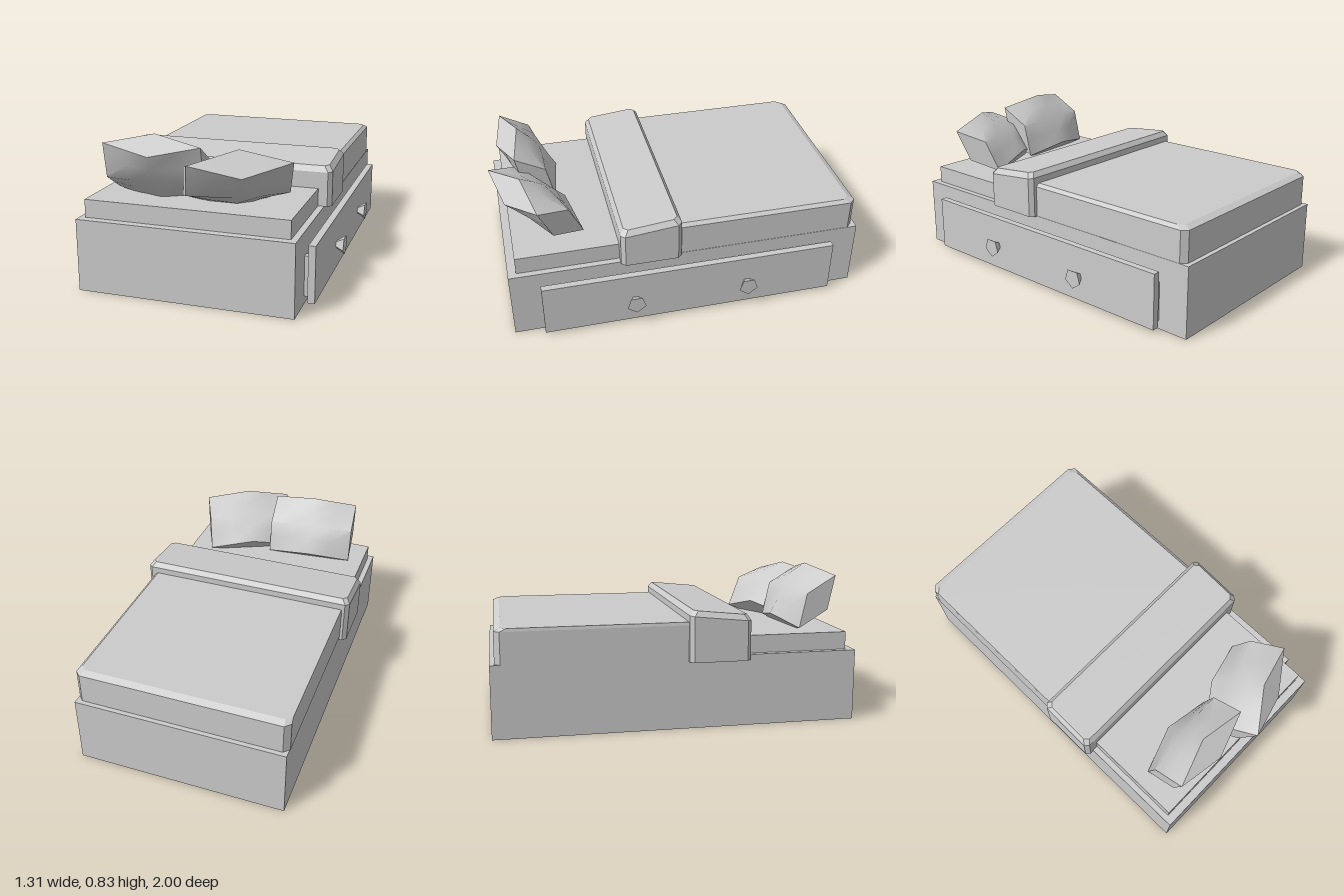
import * as THREE from 'three';
import { toCreasedNormals } from 'three/addons/utils/BufferGeometryUtils.js';

const smooth = new THREE.MeshStandardMaterial({ color: 0xcccccc, side: THREE.DoubleSide });
const flat = new THREE.MeshStandardMaterial({ color: 0xcccccc, flatShading: true, side: THREE.DoubleSide });

function add(parent, name, geometry, material = flat) {
  const mesh = new THREE.Mesh(geometry, material);
  mesh.name = name;
  parent.add(mesh);
  return mesh;
}

// Box given by its extents on each axis
function block(x0, x1, y0, y1, z0, z1) {
  return new THREE.BoxGeometry(x1 - x0, y1 - y0, z1 - z0)
    .translate((x0 + x1) / 2, (y0 + y1) / 2, (z0 + z1) / 2);
}

// Slab with cut corners, lofted through rectangles [y, x0, x1, z0, z1]
function slab(levels, cut, height = (x, y) => y) {
  const positions = [], index = [], n = 8;
  for (const [y, x0, x1, z0, z1] of levels) {
    const outline = [
      [x1, z1 - cut], [x1, z0 + cut], [x1 - cut, z0], [x0 + cut, z0],
      [x0, z0 + cut], [x0, z1 - cut], [x0 + cut, z1], [x1 - cut, z1],
    ];
    for (const [x, z] of outline) positions.push(x, height(x, y, z), z);
  }
  const top = (levels.length - 1) * n;
  for (let r = 0; r < top; r += n) {
    for (let i = 0; i < n; i++) {
      const a = r + i, b = r + (i + 1) % n;
      index.push(a, b, b + n, a, b + n, a + n);
    }
  }
  for (let i = 1; i < n - 1; i++) {
    index.push(top, top + i, top + i + 1, 0, i + 1, i);
  }
  const g = new THREE.BufferGeometry();
  g.setAttribute('position', new THREE.Float32BufferAttribute(positions, 3));
  g.setIndex(index);
  g.computeVertexNormals();
  return g;
}

// Cushion with pinched corners; across and up are its full edge vectors
function pillow(center, across, up, thickness) {
  const g = new THREE.BoxGeometry(2, 2, 2, 4, 4, 1);
  const p = g.attributes.position;
  for (let i = 0; i < p.count; i++) {
    const u = p.getX(i), v = p.getY(i);
    const puff = 1 - Math.abs(u * v) + 0.2 * (1 - u * u) * (1 - v * v);
    p.setZ(i, p.getZ(i) * thickness * puff);
  }
  const a = new THREE.Vector3(...across).multiplyScalar(0.5);
  const b = new THREE.Vector3(...up).multiplyScalar(0.5);
  const normal = a.clone().cross(b).normalize();
  g.applyMatrix4(new THREE.Matrix4().makeBasis(a, b, normal).setPosition(...center));
  return toCreasedNormals(g, 0.7);
}

export function createModel() {
  const bed = new THREE.Group();
  bed.name = 'bed';

  // Bed base: a shell open underneath (bottom face left out)
  const base = block(-0.615, 0.547, 0, 0.39, -1, 0.965);
  base.setIndex(Array.from(base.index.array).filter((_, i) => i < 18 || i >= 24));
  add(bed, 'bedBase', base);

  add(bed, 'mattress', block(-0.583, 0.513, 0.38, 0.487, -0.95, 0.92));

  // Blanket with a bevelled foot end
  add(bed, 'blanket', slab([
    [0.388, -0.618, 0.545, -0.975, 0.2],
    [0.56, -0.618, 0.545, -0.975, 0.2],
    [0.577, -0.615, 0.525, -0.94, 0.2],
  ], 0.03));

  // Folded end of the blanket, top rising towards the foot, hem lower on one side
  add(bed, 'blanketFold', slab([
    [0.365, -0.655, 0.585, 0.03, 0.363],
    [0.58, -0.655, 0.585, 0.03, 0.363],
    [0.61, -0.635, 0.563, 0.052, 0.343],
  ], 0.022, (x, y, z) => y < 0.4
    ? y + 0.025 * (x + 0.655) / 1.24
    : y + 0.03 * (0.343 - z) / 0.29));

  // Drawer running under the bed
  const drawer = new THREE.Group();
  drawer.name = 'drawer';
  bed.add(drawer);
  add(drawer, 'drawerFront', block(0.57, 0.608, 0.02, 0.325, -0.843, 0.803));
  add(drawer, 'drawerFloor', block(-0.43, 0.57, 0.045, 0.075, -0.8, 0.75));
  add(drawer, 'drawerBack', block(-0.43, -0.4, 0.075, 0.26, -0.8, 0.75));
  for (const z of [-0.83, 0.74]) {
    add(drawer, 'drawerSide', block(-0.45, 0.57, 0.045, 0.26, z, z + 0.04));
  }

  // Five-sided flared knobs, point down
  for (const z of [-0.338, 0.3]) {
    const knob = new THREE.CylinderGeometry(0.055, 0.022, 0.047, 5);
    knob.rotateY(-Math.PI / 2).rotateZ(-Math.PI / 2);
    const p = knob.attributes.position;
    let low = 0, high = 0;
    for (let i = 0; i < p.count; i++) {
      low = Math.min(low, p.getY(i));
      high = Math.max(high, p.getY(i));
    }
    if (high > -low) knob.rotateX(Math.PI);
    knob.translate(0.6315, 0.16, z);
    add(drawer, 'drawerKnob', knob);
  }

  // Two leaning pillows
  add(bed, 'pillowRight', pillow([-0.235, 0.643, 0.765], [0.51, 0, -0.045], [0.02, 0.285, 0.21], 0.078), smooth);
  add(bed, 'pillowLeft', pillow([0.19, 0.6175, 0.7625], [0.475, 0, -0.22], [0.115, 0.225, 0.245], 0.08), smooth);

  return bed;
}
